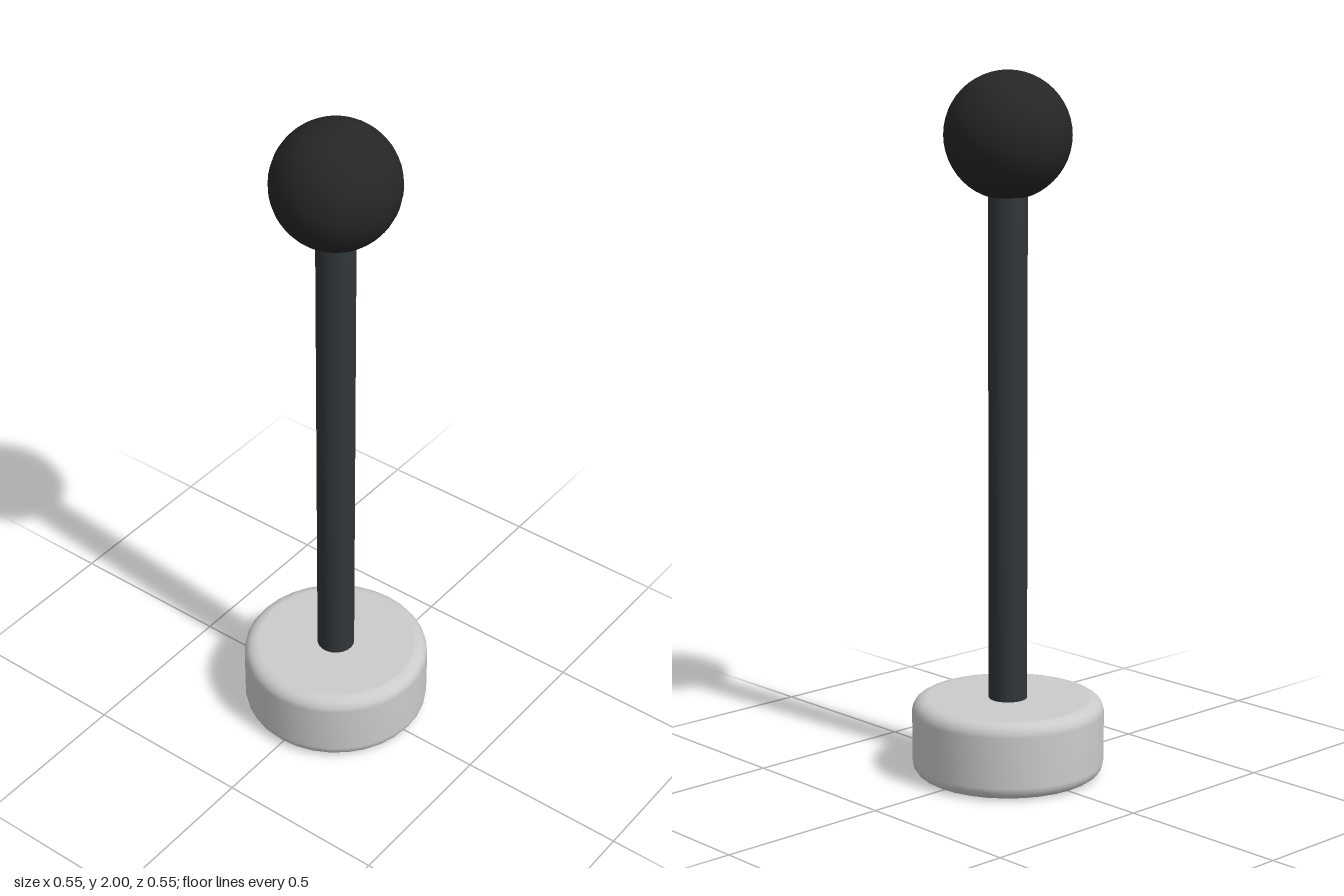
import * as THREE from 'three';

const SIDES = 32;

function part(name, geometry, color) {
  const mesh = new THREE.Mesh(geometry, new THREE.MeshStandardMaterial({ color }));
  mesh.name = name;
  return mesh;
}

// Lathe around y from [radius, height] pairs, listed bottom to top
function lathe(profile) {
  return new THREE.LatheGeometry(profile.map(([r, y]) => new THREE.Vector2(r, y)), SIDES);
}

// Disc profile with rounded top and bottom rims
function roundedDisc(radius, height, bevel, steps) {
  const inner = radius - bevel;
  const points = [[0, 0], [inner - 0.003, 0]];
  for (const [centre, start] of [[bevel, -Math.PI / 2], [height - bevel, 0]]) {
    for (let i = 0; i <= steps; i++) {
      const a = start + (i / steps) * Math.PI / 2;
      points.push([inner + bevel * Math.cos(a), centre + bevel * Math.sin(a)]);
    }
  }
  points.push([inner - 0.003, height], [0, height]);
  return points;
}

export function createModel() {
  const model = new THREE.Group();
  model.name = 'ballLever';

  // Heavy round foot
  model.add(part('base', lathe(roundedDisc(0.275, 0.22, 0.037, 4)), 0xcccccc));

  // Straight rod, its ends softly shaded and sunk into base and knob
  model.add(part('rod', lathe([[0, 0.2], [0.055, 0.2], [0.055, 1.68], [0, 1.68]]), 0x30363a));

  // Ball on top
  const knob = part('knob', new THREE.SphereGeometry(0.178, SIDES, 24), 0x262626);
  knob.position.y = 1.822;
  model.add(knob);

  return model;
}
